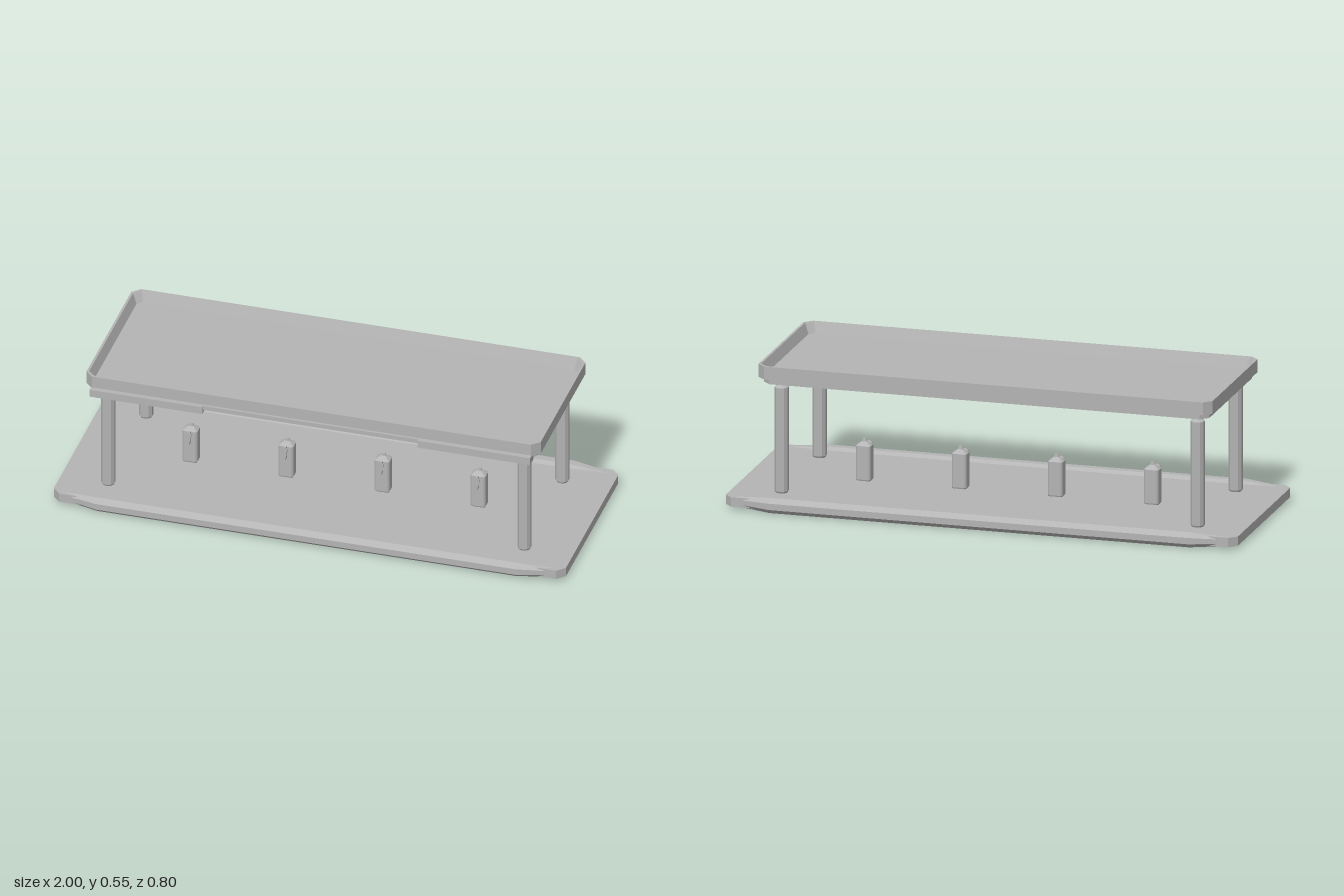
import * as THREE from 'three';

const grey = new THREE.MeshStandardMaterial({ color: 0xb4b4b4, flatShading: true });
grey.name = 'grey';

// Closed flat-shaded solid through a row of equal-sized rings
function loft(rings) {
  const pos = [];
  const tri = (a, b, c) => pos.push(...a, ...b, ...c);
  const n = rings[0].length;
  for (let r = 0; r + 1 < rings.length; r++) {
    for (let i = 0; i < n; i++) {
      const j = (i + 1) % n, lo = rings[r], hi = rings[r + 1];
      tri(lo[i], lo[j], hi[j]);
      tri(lo[i], hi[j], hi[i]);
    }
  }
  const first = rings[0], last = rings[rings.length - 1];
  for (let i = 1; i + 1 < n; i++) {
    tri(first[0], first[i + 1], first[i]);
    tri(last[0], last[i], last[i + 1]);
  }
  const g = new THREE.BufferGeometry();
  g.setAttribute('position', new THREE.Float32BufferAttribute(pos, 3));
  g.computeVertexNormals();
  return g;
}

// Horizontal rectangle with cut corners, anticlockwise from above
function plate(y, hx, hz, c) {
  return [
    [hx, y, hz - c], [hx, y, c - hz], [hx - c, y, -hz], [c - hx, y, -hz],
    [-hx, y, c - hz], [-hx, y, hz - c], [c - hx, y, hz], [hx - c, y, hz],
  ];
}

// Vertical eight-sided section of a kerb
function kerbRing(x, z, ry, rz) {
  return Array.from({ length: 8 }, (_, i) => {
    const a = (i + 0.5) * Math.PI / 4;
    return [x, 0.032 + ry * Math.cos(a), z + rz * Math.sin(a)];
  });
}

export function createModel() {
  const model = new THREE.Group();
  const add = (name, geometry, x = 0, y = 0, z = 0, parent = model) => {
    const mesh = new THREE.Mesh(geometry, grey);
    mesh.name = name;
    mesh.position.set(x, y, z);
    parent.add(mesh);
    return mesh;
  };

  // Forecourt slab with rounded kerbs along both long sides
  add('forecourt', loft([plate(0.014, 1, 0.375, 0.03), plate(0.05, 1, 0.375, 0.03)]));
  for (const s of [1, -1]) {
    add('kerb', loft([
      kerbRing(-0.97, s * 0.352, 0.019, 0.014),
      kerbRing(-0.82, s * 0.365, 0.032, 0.037),
      kerbRing(0.82, s * 0.365, 0.032, 0.037),
      kerbRing(0.97, s * 0.352, 0.019, 0.014),
    ]));
  }

  // Corner columns with tapered ends
  const column = new THREE.LatheGeometry([
    [0, 0.045], [0.022, 0.048], [0.027, 0.057], [0.027, 0.46], [0.01, 0.474], [0, 0.48],
  ].map(([r, y]) => new THREE.Vector2(r, y)), 10);
  for (const x of [-0.815, 0.81]) {
    for (const z of [-0.25, 0.25]) add('column', column, x, 0, z);
  }

  // Canopy: lower tier, then a shallow roof tray with sloping inner walls
  add('canopySoffit', loft([
    plate(0.475, 0.845, 0.28, 0.03), plate(0.482, 0.86, 0.295, 0.03),
    plate(0.484, 0.87, 0.312, 0.03), plate(0.506, 0.87, 0.312, 0.03),
  ]));
  add('canopyRoof', loft([
    plate(0.505, 0.887, 0.325, 0.03), plate(0.555, 0.887, 0.325, 0.03),
    plate(0.555, 0.878, 0.316, 0.027), plate(0.515, 0.862, 0.3, 0.02),
  ]));

  // Front fascia: two deep ends joined by a shallower middle
  for (const s of [1, -1]) {
    add('fasciaEnd', new THREE.BoxGeometry(0.44, 0.03, 0.045), s * 0.64, 0.493, 0.3225);
  }
  add('fasciaMiddle', new THREE.BoxGeometry(0.84, 0.017, 0.035), 0, 0.4995, 0.3175);

  // Fuel pumps with pitched tops and nozzles on the front
  const body = loft([
    plate(0.045, 0.025, 0.02, 0.005), plate(0.055, 0.029, 0.024, 0.006),
    plate(0.185, 0.029, 0.024, 0.006), plate(0.2, 0.01, 0.006, 0.003),
    plate(0.211, 0.006, 0.005, 0.002),
  ]);
  const cup = new THREE.CylinderGeometry(0.016, 0.008, 0.034, 6).rotateX(Math.PI / 2);
  const hose = new THREE.BoxGeometry(0.01, 0.05, 0.012);
  for (const x of [-0.565, -0.19, 0.185, 0.56]) {
    const pump = new THREE.Group();
    pump.name = 'fuelPump';
    pump.position.x = x;
    model.add(pump);
    add('pumpBody', body, 0, 0, 0, pump);
    add('nozzle', cup, 0, 0.174, 0.038, pump);
    add('nozzle', cup, 0, 0.151, 0.038, pump).scale.set(0.7, 0.75, 1);
    add('hose', hose, 0, 0.163, 0.03, pump);
  }
  return model;
}
